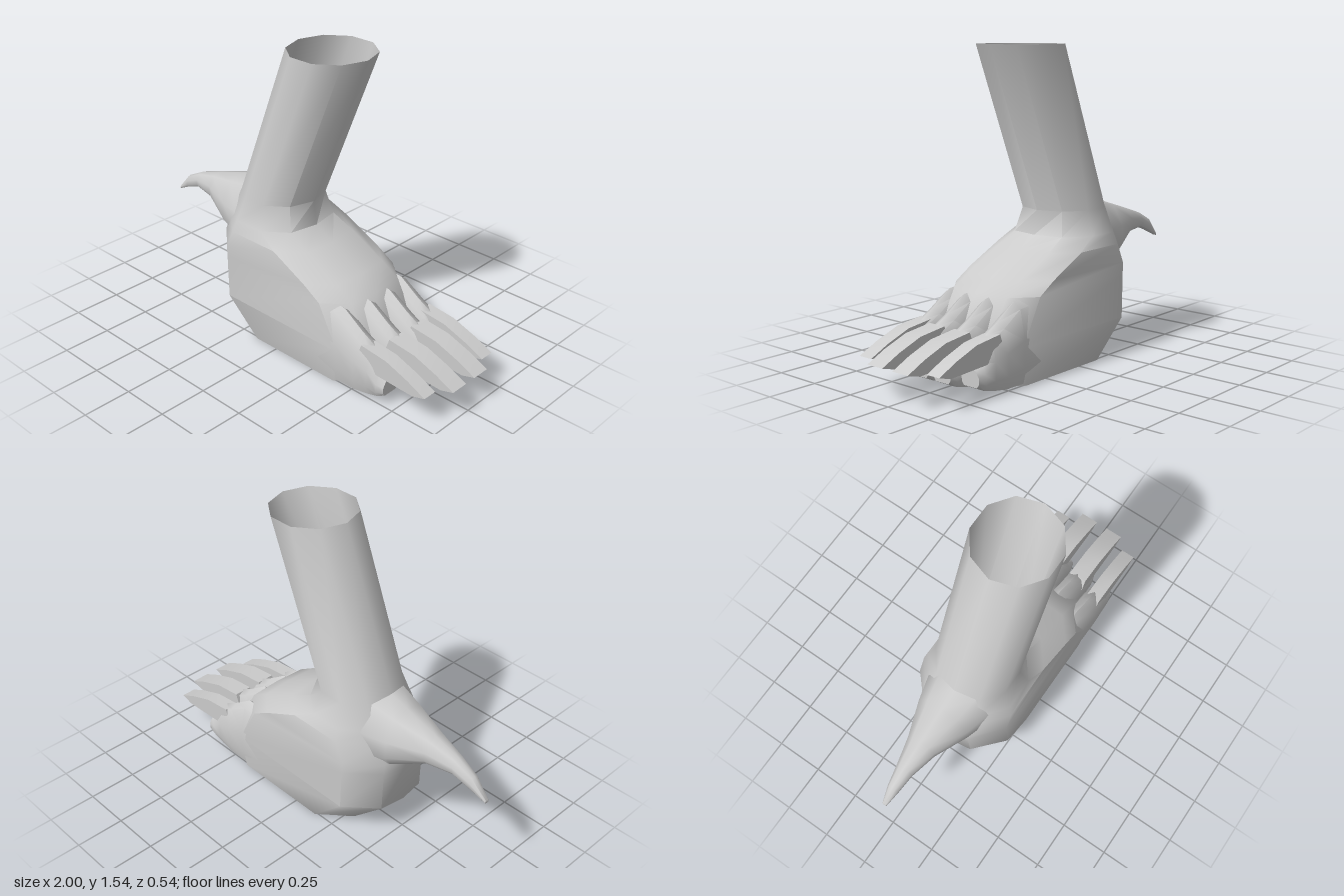
import * as THREE from 'three';
import { toCreasedNormals } from 'three/addons/utils/BufferGeometryUtils.js';

const grey = new THREE.MeshStandardMaterial({ color: 0xcccccc });
const greyDouble = new THREE.MeshStandardMaterial({ color: 0xcccccc, side: THREE.DoubleSide });

// Skins a list of equal rings (arrays of [x, y, z]) and closes the last one.
function loft(rings, crease) {
  const n = rings[0].length, index = [];
  for (let i = 0; i < rings.length - 1; i++) {
    for (let j = 0; j < n; j++) {
      const a = i * n + j, b = i * n + (j + 1) % n;
      index.push(a, a + n, b, b, a + n, b + n);
    }
  }
  const last = (rings.length - 1) * n;
  for (let j = 1; j < n - 1; j++) index.push(last, last + j + 1, last + j);
  const g = new THREE.BufferGeometry();
  g.setAttribute('position', new THREE.Float32BufferAttribute(rings.flat(2), 3));
  g.setIndex(index);
  return toCreasedNormals(g, crease);
}

// Ten-sided horizontal ring that blends from an ellipse (s = 0) to a foot outline (s = 1).
function footRing([y, back, front, w, s]) {
  const cx = (back + front) / 2, r = (front - back) / 2;
  const footX = [back, back + 0.02, back + 0.17, front - 0.13, front - 0.01, front];
  const footZ = [0, 0.5, 1, 1, 0.62, 0];
  const half = footX.map((fx, k) => {
    const a = Math.PI * (1 - k / 5);
    const roundZ = Math.min(1, Math.sin(a) * 1.05);
    return [
      THREE.MathUtils.lerp(cx + r * Math.cos(a), fx, s), y,
      w * THREE.MathUtils.lerp(roundZ, footZ[k], s),
    ];
  });
  return [...half, ...half.slice(1, 5).reverse().map(([x, yy, z]) => [x, yy, -z])];
}

// Upright rounded section; unit outline is [z, height].
const OUTLINE = [[-0.75, 0], [0.75, 0], [1, 0.2], [1, 0.55], [0.6, 0.92], [0, 1], [-0.6, 0.92], [-1, 0.55], [-1, 0.2]];
function section(x, y0, y1, w, z0 = 0, flip = 1) {
  return OUTLINE.map(([z, h]) => [x, y0 + (y1 - y0) * h, z0 + z * w * flip]);
}

export function createModel() {
  const group = new THREE.Group();
  const add = (name, geometry, material = grey) => {
    const mesh = new THREE.Mesh(geometry, material);
    mesh.name = name;
    group.add(mesh);
  };

  // Leaning open leg running into the foot: y, back, front, half width, squareness
  const body = [
    [1.545, -0.09, 0.34, 0.205, 0],
    [0.74, -0.405, 0.01, 0.205, 0],
    [0.62, -0.45, 0.03, 0.245, 0.5],
    [0.56, -0.475, 0.14, 0.265, 0.8],
    [0.46, -0.51, 0.33, 0.267, 1],
    [0.4, -0.507, 0.43, 0.268, 1],
    [0.18, -0.5, 0.55, 0.27, 1],
    [0, -0.31, 0.52, 0.262, 1],
  ];
  add('legAndFoot', loft(body.map(footRing), 0.9), greyDouble);

  // Rear spur, tapering and hooking down: x, bottom, top, half width
  const spur = [
    [-0.37, 0.42, 0.77, 0.18],
    [-0.5, 0.46, 0.73, 0.145],
    [-0.68, 0.545, 0.675, 0.078],
    [-0.82, 0.553, 0.63, 0.045],
    [-0.92, 0.515, 0.58, 0.03],
    [-1, 0.475, 0.492, 0.012],
  ];
  add('rearSpur', loft(spur.map(([x, a, b, w]) => section(x, a, b, w, 0, -1)), 0.9));

  // Four toes with flat-sided claws; the outer pair sits slightly back
  for (const side of [1, -1]) {
    for (const outer of [false, true]) {
      const z = side * (outer ? 0.205 : 0.07);
      const dx = outer ? -0.04 : 0;
      const label = (side > 0 ? 'left' : 'right') + (outer ? 'Outer' : 'Inner');
      const toe = [
        [0.3, 0.02, 0.4, 0.06],
        [0.45, 0.01, 0.39, 0.066],
        [0.56, 0.012, 0.315, 0.066],
        [0.64, 0.025, 0.27, 0.063],
        [0.7, 0.04, 0.17, 0.06],
        [0.74, 0.06, 0.145, 0.052],
      ];
      add(label + 'Toe', loft(toe.map(([x, a, b, w]) => section(x + dx, a, b, w, z)), 0.9));

      const w = outer ? 0.038 : 0.048;
      const profile = new THREE.Shape([
        [0.58, 0.16], [0.93, 0.145], [1, 0.165], [0.9, 0.212], [0.77, 0.258], [0.62, 0.275],
      ].map(([x, y]) => new THREE.Vector2(x + dx * 1.6, y)));
      const claw = new THREE.ExtrudeGeometry(profile, { depth: 2 * w, bevelEnabled: false });
      claw.translate(0, 0, z + side * 0.01 - w);
      add(label + 'Claw', toCreasedNormals(claw, 0.6));
    }
  }
  return group;
}
